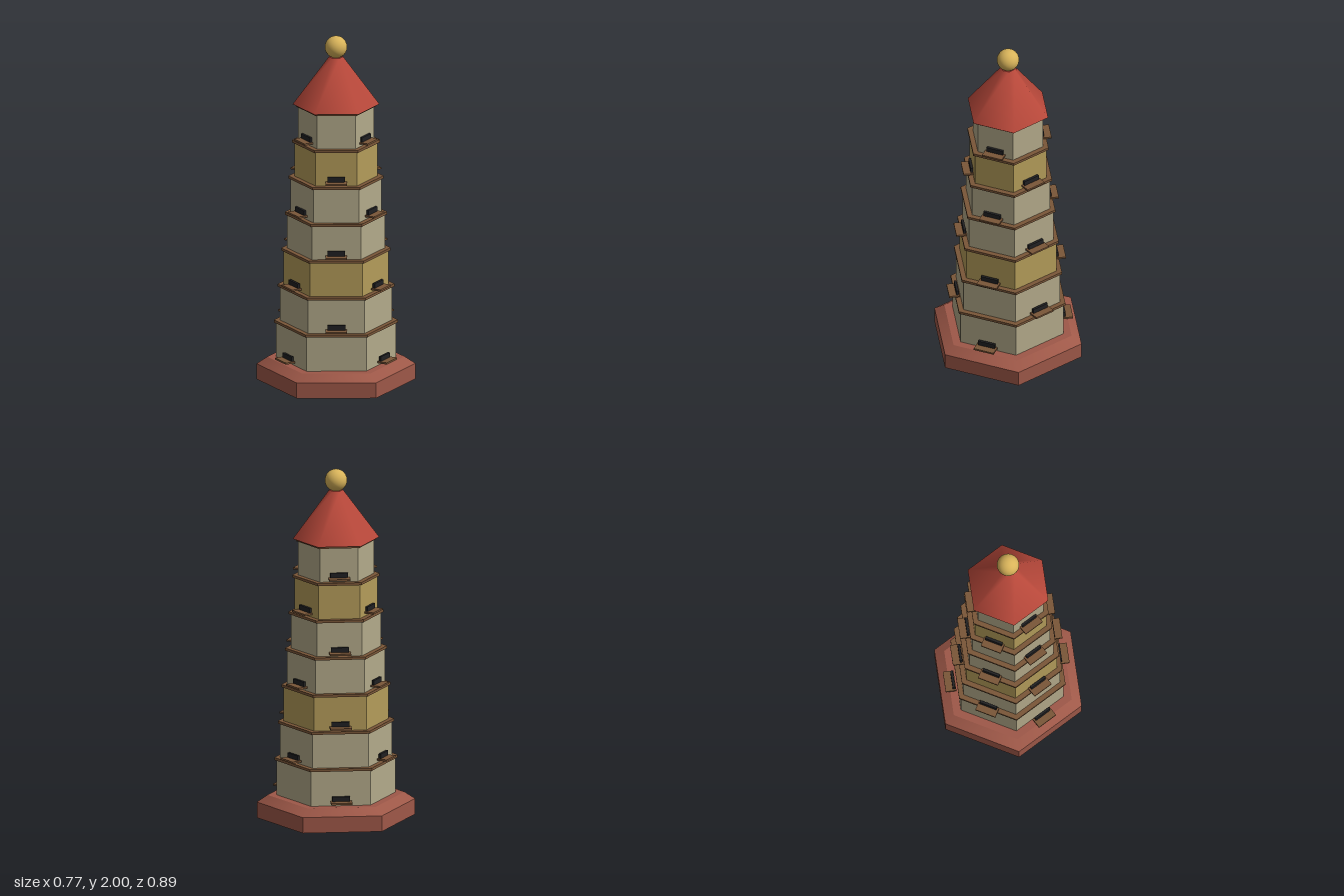
import * as THREE from 'three';

export function createModel() {
  const mat = (name, color, flatShading = false) => {
    const m = new THREE.MeshStandardMaterial({ color });
    m.name = name;
    m.flatShading = flatShading;
    return m;
  };
  const stone = mat('stone', 0xb3aa8a, true);
  const ochre = mat('ochre', 0xb49c5a, true);
  const wood = mat('wood', 0x7a5638, true);
  const brick = mat('brick', 0x9e5848);
  const iron = mat('iron', 0x202022, true);
  const red = mat('roofRed', 0xb8483a);
  const gold = mat('gold', 0xd9b45a);

  const model = new THREE.Group();
  model.name = 'pagodaTower';

  const add = (parent, name, geometry, material, x, y, z = 0) => {
    const mesh = new THREE.Mesh(geometry, material);
    mesh.name = name;
    mesh.position.set(x, y, z);
    parent.add(mesh);
    return mesh;
  };
  // Six-sided prism or frustum standing on y0, corners at front and back
  const hex = (name, rTop, rBottom, y0, y1, material, flat = true) => {
    let g = new THREE.CylinderGeometry(rTop, rBottom, y1 - y0, 6);
    if (flat) {
      g = g.toNonIndexed();
      g.computeVertexNormals();
    }
    return add(model, name, g, material, 0, (y0 + y1) / 2);
  };

  // Plinth with a sloping upper edge
  hex('plinth', 0.445, 0.445, 0, 0.09, brick);
  hex('plinthSlope', 0.385, 0.445, 0.09, 0.13, brick, false);

  // Storeys, each with an eave and three balconies on alternating sides
  const step = 0.21;
  const plate = new THREE.BoxGeometry(0.06, 0.01, 0.12);
  const rail = new THREE.BoxGeometry(0.014, 0.03, 0.1);
  for (let i = 0; i < 7; i++) {
    const r = 0.335 - 0.0203 * i;
    const y = 0.13 + step * i;
    hex('storey' + (i + 1), r, r, y, y + step - 0.005, i % 3 === 2 ? ochre : stone);
    hex('eave' + (i + 1), r + 0.012, r + 0.012, y + 0.2, y + 0.215, wood);
    for (let k = 0; k < 3; k++) {
      const balcony = new THREE.Group();
      balcony.name = 'balcony';
      balcony.rotation.y = (i % 2) * Math.PI + (k * Math.PI * 2) / 3;
      add(balcony, 'balconyFloor', plate, wood, r - 0.005, y + 0.026);
      add(balcony, 'balconyRail', rail, iron, r - 0.023, y + 0.043);
      model.add(balcony);
    }
  }

  // Pointed roof and ball finial
  hex('roof', 0.04, 0.243, 1.603, 1.88, red, false);
  add(model, 'finial', new THREE.SphereGeometry(0.063, 20, 14), gold, 0, 1.937);

  return model;
}
